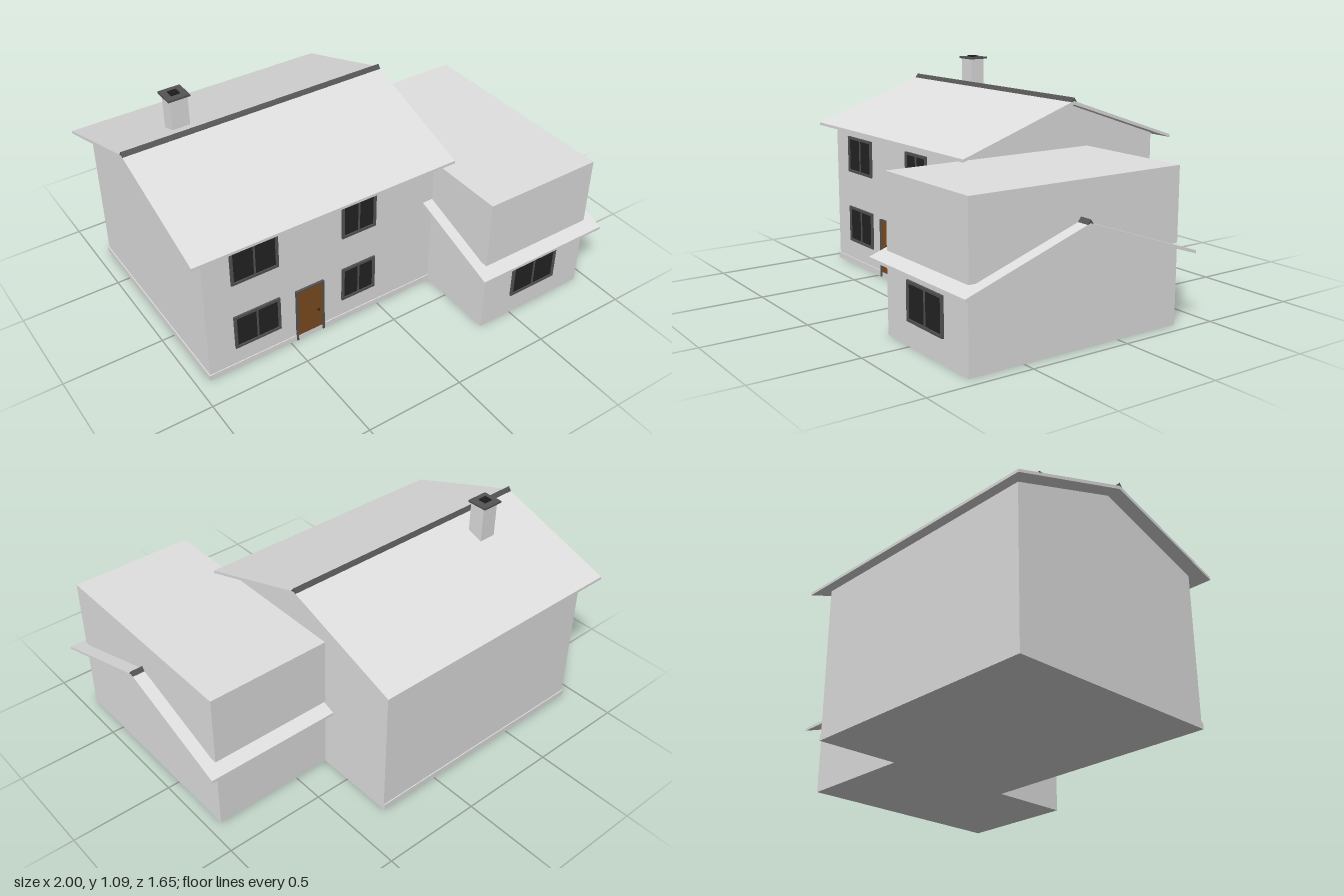
import * as THREE from 'three';

const mat = (name, color) => {
  const m = new THREE.MeshStandardMaterial({ color });
  m.name = name;
  return m;
};

export function createModel() {
  const house = new THREE.Group();
  house.name = 'house';
  const wall = mat('wall', 0xe0e0e0);
  const roof = mat('roof', 0xe0e0e0);
  const trim = mat('darkTrim', 0x555555);
  const glass = mat('glass', 0x242424);
  const wood = mat('doorWood', 0x7d4d20);
  const black = mat('black', 0x1c1c1c);

  const add = (name, geo, material, parent = house) => {
    const mesh = new THREE.Mesh(geo, material);
    mesh.name = name;
    parent.add(mesh);
    return mesh;
  };
  // Box given by its extents on each axis
  const box = (name, x0, x1, y0, y1, z0, z1, material, parent) => {
    const g = new THREE.BoxGeometry(x1 - x0, y1 - y0, z1 - z0);
    g.translate((x0 + x1) / 2, (y0 + y1) / 2, (z0 + z1) / 2);
    return add(name, g, material, parent);
  };
  // Symmetric (z, y) profile swept along x, centred on zc
  const prism = (name, points, x0, x1, zc, material) => {
    const shape = new THREE.Shape(points.map(([a, b]) => new THREE.Vector2(a, b)));
    const g = new THREE.ExtrudeGeometry(shape, { depth: x1 - x0, bevelEnabled: false });
    g.rotateY(Math.PI / 2);
    g.translate(x0, 0, zc);
    return add(name, g, material);
  };
  // Gable walls, pitched roof slab and ridge cap
  const gableRoof = (name, o) => {
    prism(name + 'Gable', [[-o.half, o.wallTop], [o.half, o.wallTop], [0, o.inner]], o.wx0, o.wx1, o.zc, wall);
    prism(name + 'Roof', [
      [-o.eave, o.eaveY], [-o.eave, o.eaveY - 0.014], [0, o.inner],
      [o.eave, o.eaveY - 0.014], [o.eave, o.eaveY], [0, o.peak],
    ], o.x0, o.x1, o.zc, roof);
    prism(name + 'RidgeCap', [[-0.016, o.peak - 0.005], [0.016, o.peak - 0.005], [0, o.peak + 0.016]],
      o.x0, o.x1, o.zc, trim);
  };

  // Main house
  box('plinth', -0.935, 0.32, 0, 0.03, -0.757, 0.357, wall);
  box('groundFloor', -0.93, 0.32, 0.01, 0.379, -0.752, 0.352, wall);
  box('upperFloor', -0.93, 0.32, 0.379, 0.752, -0.752, 0.352, wall);
  gableRoof('main', {
    half: 0.552, wallTop: 0.752, inner: 0.939, peak: 0.956, eave: 0.62, eaveY: 0.745,
    wx0: -0.93, wx1: 0.32, x0: -1, x1: 0.385, zc: -0.2,
  });

  // Side wing, with a flat-topped storey rising through its roof
  box('wingGroundFloor', 0.32, 0.938, 0, 0.35, -0.337, 0.77, wall);
  box('wingUpperFloor', 0.318, 0.939, 0.378, 0.725, -0.337, 0.769, wall);
  gableRoof('wing', {
    half: 0.553, wallTop: 0.35, inner: 0.538, peak: 0.555, eave: 0.61, eaveY: 0.347,
    wx0: 0.32, wx1: 0.938, x0: 0.263, x1: 1, zc: 0.216,
  });

  // Chimney
  box('chimney', -0.7, -0.61, 0.85, 1.076, -0.383, -0.302, wall);
  box('chimneyCap', -0.712, -0.6, 1.074, 1.084, -0.398, -0.292, trim);
  box('chimneyFlue', -0.68, -0.636, 1.084, 1.09, -0.364, -0.324, black);

  // Two-pane windows: frame with openings over a glass plate
  const windowAt = (x0, x1, y0, y1, z) => {
    const group = new THREE.Group();
    group.name = 'window';
    house.add(group);
    const t = 0.013, mid = (x0 + x1) / 2;
    box('glass', x0 + 0.004, x1 - 0.004, y0 + 0.004, y1 - 0.004, z - 0.002, z + 0.004, glass, group);
    box('frameSide', x0, x0 + t, y0, y1, z - 0.002, z + 0.01, trim, group);
    box('frameSide', x1 - t, x1, y0, y1, z - 0.002, z + 0.01, trim, group);
    box('frameBottom', x0 + t, x1 - t, y0, y0 + t, z - 0.002, z + 0.01, trim, group);
    box('frameTop', x0 + t, x1 - t, y1 - t, y1, z - 0.002, z + 0.01, trim, group);
    box('mullion', mid - 0.004, mid + 0.004, y0 + t, y1 - t, z - 0.002, z + 0.008, trim, group);
  };
  for (const [y0, y1] of [[0.127, 0.315], [0.503, 0.691]]) {
    windowAt(-0.793, -0.551, y0, y1, 0.352);
    windowAt(-0.21, -0.021, y0, y1, 0.352);
  }
  windowAt(0.491, 0.765, 0.113, 0.293, 0.77);

  // Front door
  box('door', -0.459, -0.321, 0.028, 0.298, 0.35, 0.358, wood);
  box('doorPost', -0.467, -0.459, 0.003, 0.306, 0.35, 0.364, trim);
  box('doorPost', -0.321, -0.313, 0.003, 0.306, 0.35, 0.364, trim);
  box('doorLintel', -0.459, -0.321, 0.298, 0.306, 0.35, 0.364, trim);
  const knob = add('doorKnob', new THREE.SphereGeometry(0.006, 12, 8), black);
  knob.position.set(-0.345, 0.14, 0.361);

  return house;
}
